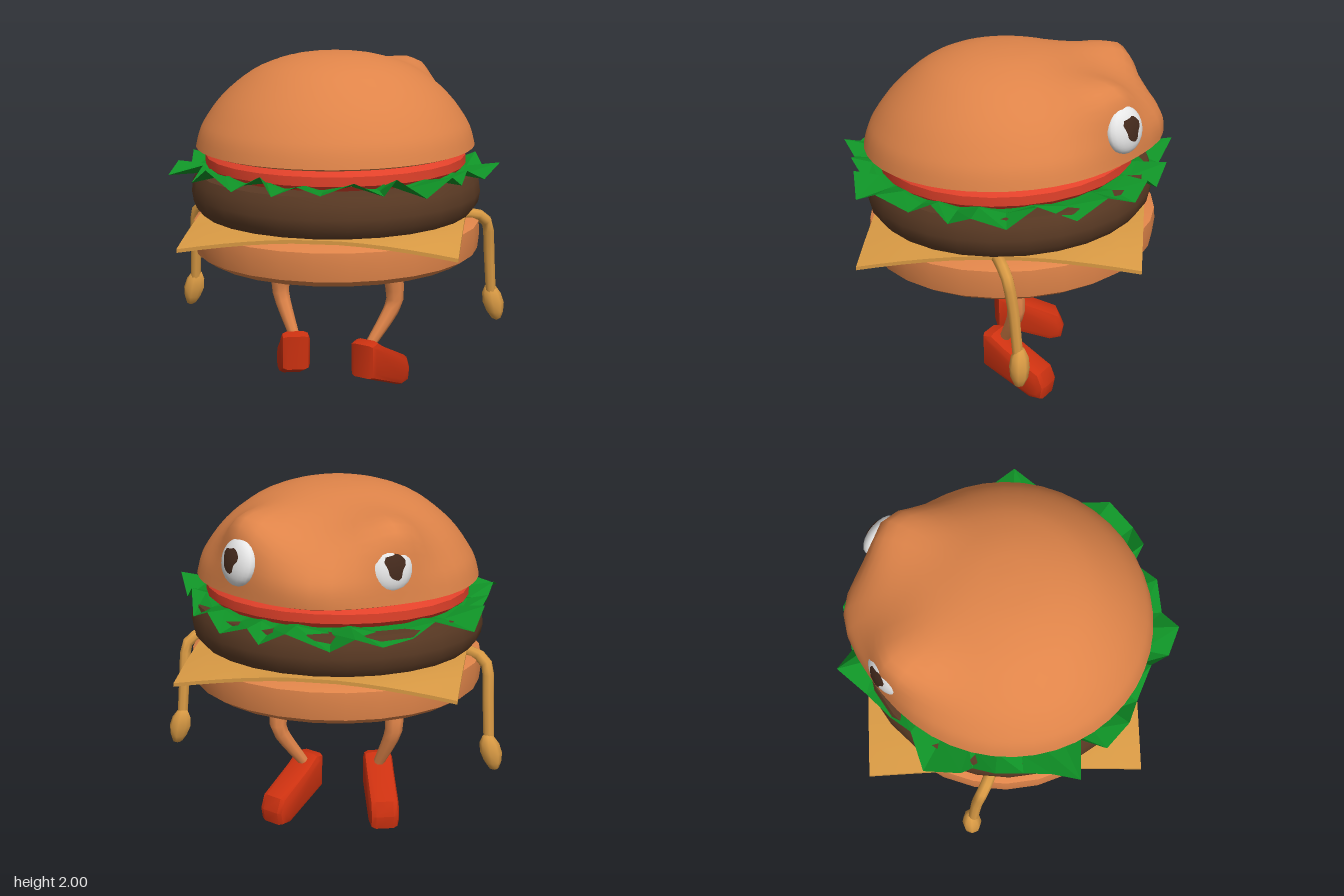
import * as THREE from 'three';
import { mergeVertices, toCreasedNormals } from 'three/addons/utils/BufferGeometryUtils.js';

const mat = (name, color, opts = {}) => {
  const m = new THREE.MeshStandardMaterial({ color, ...opts });
  m.name = name;
  return m;
};
const V = (x, y, z) => new THREE.Vector3(x, y, z);

// Move every vertex of a geometry by a rule
function warp(geo, rule) {
  const p = geo.attributes.position, v = V(0, 0, 0);
  for (let i = 0; i < p.count; i++) {
    v.fromBufferAttribute(p, i);
    rule(v, i);
    p.setXYZ(i, v.x, v.y, v.z);
  }
  return geo;
}

// Weld, then smooth while keeping hard edges
function smooth(geo, angle = 0.6) {
  geo.deleteAttribute('uv');
  geo.deleteAttribute('normal');
  return toCreasedNormals(mergeVertices(geo, 1e-4), angle);
}

const TILT = -0.04; // all layers rise slightly towards -z
const lathe = (pts, segs) => new THREE.LatheGeometry(pts.map(([r, y]) => new THREE.Vector2(r, y)), segs);
const layer = (pts, zMid, zScale = 1) => smooth(warp(lathe(pts, 28), v => {
  v.z = v.z * zScale + zMid;
  v.y += TILT * v.z;
}));

// Tube that tapers from r0 to r1
function limb(pts, r0, r1) {
  const n = 10, sides = 8;
  const curve = new THREE.CatmullRomCurve3(pts, false, 'catmullrom', 0.3);
  const geo = new THREE.TubeGeometry(curve, n, 1, sides, false);
  return warp(geo, (v, i) => {
    const t = Math.floor(i / (sides + 1)) / n, c = curve.getPointAt(t);
    v.sub(c).multiplyScalar(r0 + (r1 - r0) * t).add(c);
  });
}

// Domed bun with brows above the eyes and a muzzle at -z
function topBunGeometry() {
  const dome = [[0.785, 1.485], [0.765, 1.56], [0.73, 1.63], [0.65, 1.74], [0.54, 1.84], [0.4, 1.925], [0.2, 1.985], [0, 2.0]];
  const curve = new THREE.SplineCurve(dome.map(([r, y]) => new THREE.Vector2(r, y)));
  const profile = [[0, 1.48], [0.5, 1.475], [0.74, 1.47], ...curve.getPoints(20).map(p => [Math.max(p.x, 0), p.y])];
  profile[profile.length - 1][0] = 0;
  const bump = (dx, dy, dz, s) => Math.exp(-(dx * dx + dy * dy + dz * dz) / (2 * s * s));
  return smooth(warp(lathe(profile, 44), v => {
    const top = THREE.MathUtils.smoothstep(v.y, 1.75, 2.0);
    v.y += TILT * v.z * (1 - top);
    const { x, y, z } = v;
    for (const s of [1, -1]) {
      const b = 0.15 * bump(x - s * 0.36, y - 1.82, z + 0.54, 0.14);
      v.x += s * b * 0.4;
      v.y += b * 0.75;
      v.z -= b * 0.6;
    }
    const nose = bump(x / 1.1, y - 1.62, z + 0.72, 0.19);
    v.z -= 0.11 * nose;
    v.y += 0.02 * nose;
  }), 0.8);
}

// Ragged leaf ring: outer edge as [x, z] pairs
function lettuceGeometry() {
  const edge = [
    [-0.36, -0.78], [-0.24, -0.93], [-0.1, -0.86], [0.12, -0.9], [0.27, -0.85], [0.34, -0.8], [0.5, -0.74], [0.6, -0.6],
    [0.72, -0.45], [0.78, -0.25], [0.85, -0.1], [0.93, 0.07], [0.85, 0.2], [0.76, 0.3], [0.74, 0.42], [0.7, 0.6],
    [0.58, 0.73], [0.43, 0.77], [0.36, 0.72], [0.22, 0.83], [0.05, 0.85], [-0.06, 0.93], [-0.2, 0.87], [-0.28, 0.76],
    [-0.45, 0.68], [-0.6, 0.62], [-0.71, 0.5], [-0.68, 0.36], [-0.88, 0.35], [-0.86, 0.2], [-0.83, 0.05], [-0.85, -0.1],
    [-0.79, -0.22], [-0.84, -0.28], [-0.8, -0.48], [-0.6, -0.54], [-0.5, -0.65]];
  const pos = [], idx = [], n = edge.length;
  edge.forEach(([x, z], i) => {
    const a = Math.atan2(z, x), wave = i % 2 ? 0.045 : -0.035;
    pos.push(0.55 * Math.cos(a), 1.355 + TILT * z * 0.5, 0.55 * Math.sin(a));
    pos.push(0.74 * Math.cos(a), 1.36 + wave * 0.4 + TILT * z * 0.5, 0.74 * Math.sin(a));
    pos.push(x, 1.355 + wave + 0.012 * Math.sin(i * 2.3), z);
    const b = i * 3, c = ((i + 1) % n) * 3;
    for (const k of [0, 1]) idx.push(b + k, c + k, b + k + 1, c + k, c + k + 1, b + k + 1);
  });
  const geo = new THREE.BufferGeometry();
  geo.setAttribute('position', new THREE.Float32BufferAttribute(pos, 3));
  geo.setIndex(idx);
  geo.computeVertexNormals();
  return geo;
}

// Sloping shoe, extruded from its side outline
function shoeGeometry() {
  const outline = [[-0.08, 0.14], [-0.085, 0.34], [-0.02, 0.355], [0.07, 0.3], [0.3, 0.19], [0.335, 0.11], [0.32, 0.03], [0.24, 0.02]];
  const shape = new THREE.Shape(outline.map(([x, y]) => new THREE.Vector2(x, y)));
  const geo = new THREE.ExtrudeGeometry(shape, {
    depth: 0.1, bevelEnabled: true, bevelThickness: 0.035, bevelSize: 0.035, bevelOffset: -0.035, bevelSegments: 2 });
  geo.translate(0, 0, -0.05);
  return smooth(geo, 0.7);
}

export function createModel() {
  const model = new THREE.Group();
  const bun = mat('bun', 0xdf8449);
  const meat = mat('meat', 0x5a3a24);
  const tomato = mat('tomato', 0xe2412a);
  const leaf = mat('lettuce', 0x0f9126, { side: THREE.DoubleSide, flatShading: true });
  const yellow = mat('cheese', 0xd99a44);
  const red = mat('shoe red', 0xcc3110);
  const white = mat('eye white', 0xe6e6e6);
  const brown = mat('pupil brown', 0x43291c, { side: THREE.DoubleSide });
  const add = (name, geo, material, parent = model) => {
    const m = new THREE.Mesh(geo, material);
    m.name = name;
    parent.add(m);
    return m;
  };

  // Stacked layers
  add('bottomBun', layer([[0, 0.83], [0.62, 0.83], [0.75, 0.85], [0.81, 0.89], [0.82, 0.98], [0.815, 1.045], [0.78, 1.065], [0, 1.065]], -0.04, 0.99), bun);
  add('patty', layer([[0, 1.11], [0.77, 1.11], [0.81, 1.16], [0.82, 1.22], [0.81, 1.29], [0.79, 1.335], [0, 1.345]], -0.025, 0.98), meat);
  add('tomatoSlice', layer([[0, 1.35], [0.7, 1.35], [0.735, 1.38], [0.735, 1.43], [0.7, 1.465], [0, 1.47]], -0.01, 0.97), tomato);
  add('lettuce', lettuceGeometry(), leaf);
  add('topBun', topBunGeometry(), bun);

  // Square cheese slice with drooping corners
  const slice = warp(new THREE.BoxGeometry(1.49, 0.02, 1.5, 12, 1, 12), v => {
    const r = Math.hypot(v.x, v.z);
    v.z -= 0.04;
    v.y += 1.088 + TILT * v.z - 0.24 * Math.max(0, r - 0.76);
  });
  add('cheeseSlice', smooth(slice), yellow);

  // Eyes with a ragged pupil patch lying on the eyeball
  const R = 0.125, FLAT = 0.5;
  const pupil = new THREE.RingGeometry(0.001, 0.06, 18, 4);
  warp(pupil, v => {
    const a = Math.atan2(v.y, v.x), k = 1 + 0.14 * Math.sin(3 * a) + 0.08 * Math.sin(5 * a + 1);
    v.x *= 0.9 * k;
    v.y = v.y * 1.1 * k + 0.012;
    v.z = FLAT * Math.sqrt(R * R - v.x * v.x - v.y * v.y) + 0.004;
  });
  pupil.computeVertexNormals();
  for (const [name, p, n] of [
    ['leftEye', V(0.405, 1.7, -0.665), V(0.64, 0.22, -0.77)],
    ['rightEye', V(-0.375, 1.7, -0.645), V(-0.58, 0.22, -0.82)]]) {
    const eye = new THREE.Group();
    eye.name = name;
    eye.position.copy(p);
    eye.lookAt(p.clone().add(n));
    add('eyeball', new THREE.SphereGeometry(R, 20, 14).scale(1, 1, FLAT), white, eye);
    add('pupil', pupil, brown, eye);
    model.add(eye);
  }

  // Arms and hands
  for (const [name, s, dz] of [['left', 1, 0], ['right', -1, -0.07]]) {
    const pts = [V(0.7, 1.085, -0.03), V(0.8, 1.08, -0.07), V(0.865, 1.02, -0.11), V(0.875, 0.85, -0.14), V(0.89, 0.6, -0.165)];
    add(name + 'Arm', limb(pts.map(p => V(p.x * s, p.y, p.z + dz)), 0.034, 0.03), yellow);
    const hand = warp(new THREE.SphereGeometry(1, 8, 6), v => {
      const w = v.y < -0.3 ? 0.9 : 1;
      v.set(v.x * 0.062 * w - v.y * 0.022, v.y * 0.11, v.z * 0.055);
    });
    hand.computeVertexNormals();
    const h = add(name + 'Hand', hand, yellow);
    h.position.set(0.905 * s, 0.54, -0.175 + dz);
    if (s < 0) h.rotation.y = Math.PI;
  }

  // Legs and shoes
  const shoe = shoeGeometry();
  for (const [name, hip, knee, ankle, dir] of [
    ['left', V(0.31, 0.86, -0.06), V(0.335, 0.54, -0.1), V(0.2, 0.29, -0.02), [0.14, -0.28]],
    ['right', V(-0.325, 0.86, -0.06), V(-0.34, 0.57, -0.1), V(-0.24, 0.31, -0.02), [-0.08, -0.3]]]) {
    add(name + 'Leg', limb([hip, knee, ankle], 0.07, 0.03), bun);
    const m = add(name + 'Shoe', shoe, red);
    m.position.set(ankle.x, name === 'left' ? -0.02 : 0.012, 0);
    m.rotation.y = Math.atan2(-dir[1], dir[0]);
  }
  return model;
}
